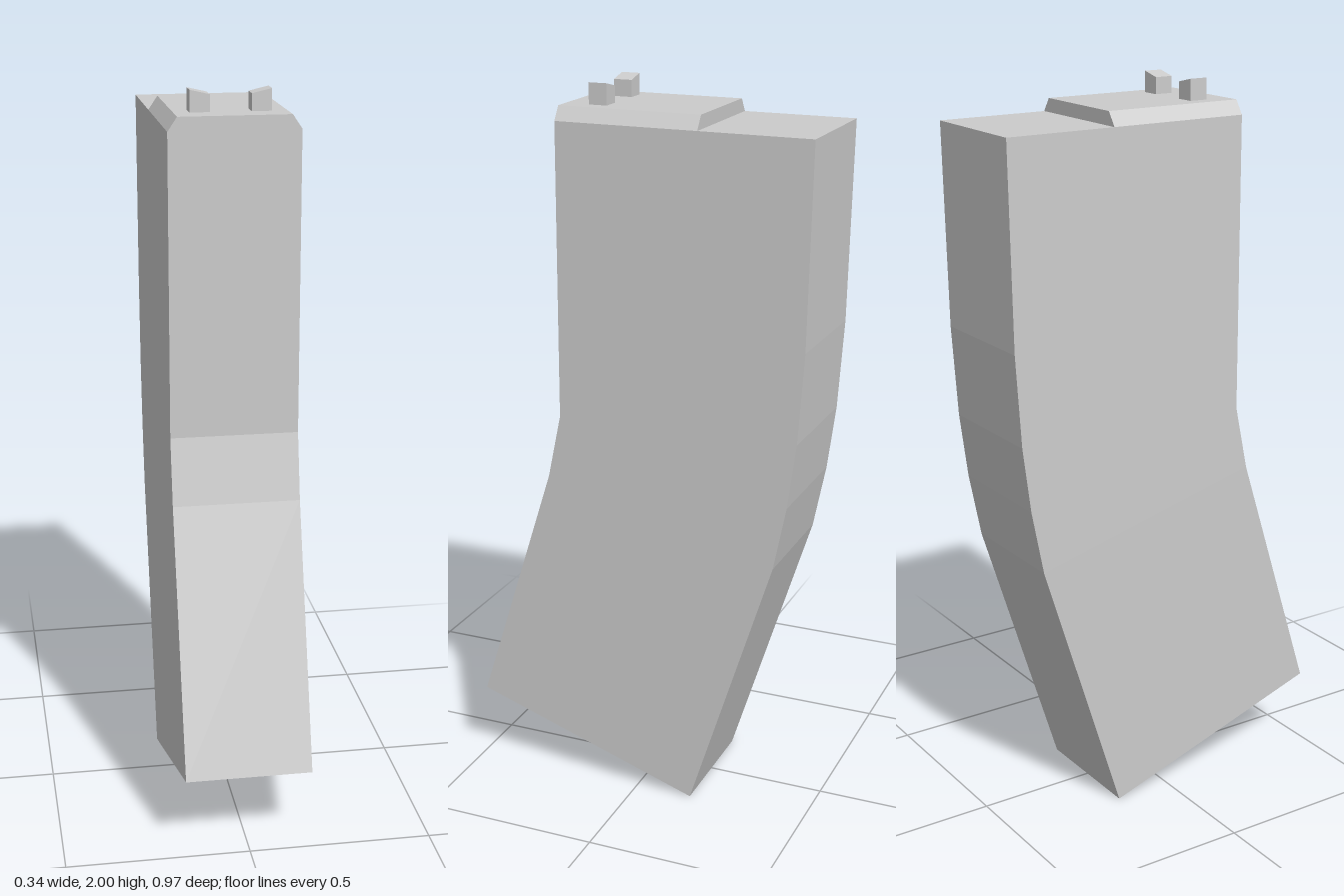
import * as THREE from 'three';

const material = new THREE.MeshStandardMaterial({ color: 0xcccccc, flatShading: true });

// Extrudes a closed outline of [x, y] points from z = start to z = end
function extrude(points, start, end) {
  const shape = new THREE.Shape(points.map(([x, y]) => new THREE.Vector2(x, y)));
  const geometry = new THREE.ExtrudeGeometry(shape, { depth: end - start, bevelEnabled: false });
  return geometry.translate(0, 0, start);
}

function addPart(group, name, geometry) {
  const mesh = new THREE.Mesh(geometry, material);
  mesh.name = name;
  group.add(mesh);
}

export function createModel() {
  const group = new THREE.Group();
  group.name = 'curvedMagazine';
  const halfWidth = 0.172, shoulderY = 1.906, capY = 1.943;

  // Curved body: side outline as [z, y], extruded across the width
  const outline = [
    [0.225, shoulderY], [-0.482, shoulderY], [-0.472, 1.36], [-0.456, 1.11],
    [-0.433, 0.93], [-0.398, 0.75], [-0.164, 0], [0.485, 0.218],
    [0.264, 0.92], [0.226, 1.1],
  ].reverse();
  addPart(group, 'body', extrude(outline, -halfWidth, halfWidth).rotateY(-Math.PI / 2));

  // Raised cap with chamfered long edges, flush with the front
  const cap = [[-halfWidth, shoulderY], [halfWidth, shoulderY], [0.147, capY], [-0.147, capY]];
  addPart(group, 'topCap', extrude(cap, -0.172, 0.225));

  // Two contact pegs, their tops sloping down towards the middle
  for (const side of [1, -1]) {
    const peg = [[0.054, capY], [0.106, capY], [0.106, 2], [0.054, 1.988]]
      .map(([x, y]) => [side * x, y]);
    addPart(group, side > 0 ? 'leftPeg' : 'rightPeg', extrude(peg, 0.106, 0.157));
  }
  return group;
}
